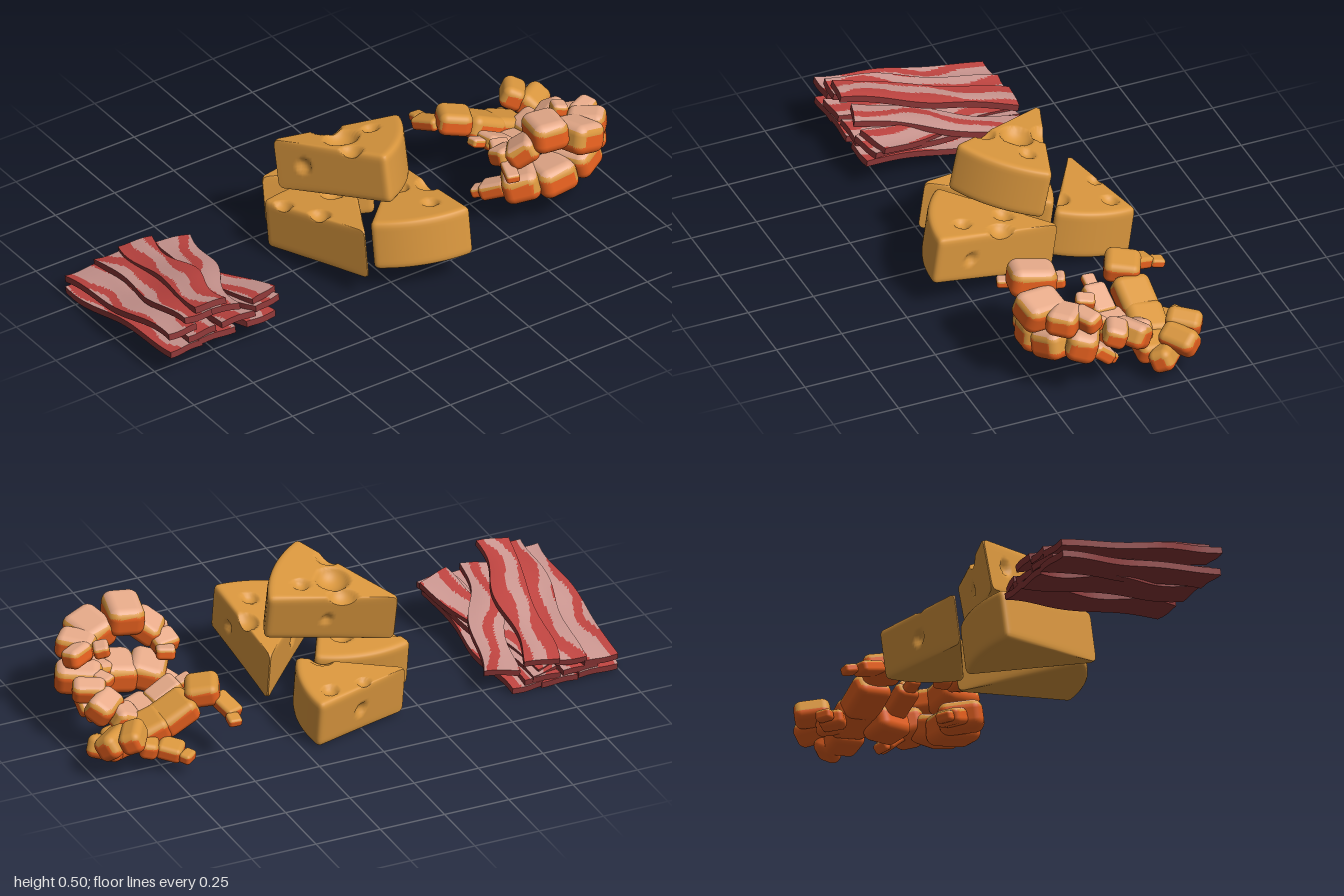
import * as THREE from 'three';
import { mergeVertices, mergeGeometries } from 'three/addons/utils/BufferGeometryUtils.js';
import { RoundedBoxGeometry } from 'three/addons/geometries/RoundedBoxGeometry.js';

function material(name, color) {
  const m = new THREE.MeshStandardMaterial({ color });
  m.name = name;
  return m;
}

// Sorts triangles into material groups; pick(centre, normal) returns a material index.
function paint(source, count, pick) {
  const geo = source.index ? source.toNonIndexed() : source;
  geo.clearGroups();
  const pos = geo.attributes.position, nor = geo.attributes.normal;
  const bins = Array.from({ length: count }, () => []);
  const c = new THREE.Vector3(), n = new THREE.Vector3(), v = new THREE.Vector3();
  for (let i = 0; i < pos.count; i += 3) {
    c.set(0, 0, 0);
    n.set(0, 0, 0);
    for (let k = i; k < i + 3; k++) {
      c.add(v.fromBufferAttribute(pos, k));
      n.add(v.fromBufferAttribute(nor, k));
    }
    bins[pick(c.divideScalar(3), n.normalize())].push(i, i + 1, i + 2);
  }
  geo.setIndex(bins.flat());
  let start = 0;
  bins.forEach((b, i) => {
    if (b.length) geo.addGroup(start, b.length, i);
    start += b.length;
  });
  return geo;
}

// Cheese wedge: a rounded box bent into a sector, with spherical holes pressed in.
// Hole: [distance from tip, angle in degrees, height, radius, side?]
function wedgeGeometry(R, thick, holes) {
  const half = THREE.MathUtils.degToRad(23), W = 2 * half * R, bevel = 0.02;
  let geo = new THREE.BoxGeometry(R, thick, W, 48, 16, 44);
  geo.deleteAttribute('uv');
  geo.deleteAttribute('normal');
  geo = mergeVertices(geo);
  const cuts = holes.map(([r, deg, y, rad, side]) => {
    const a = THREE.MathUtils.degToRad(deg), s = Math.sign(deg);
    const inward = side ? new THREE.Vector3(s * Math.sin(a), 0, -s * Math.cos(a)) : new THREE.Vector3(0, -1, 0);
    const centre = new THREE.Vector3(r * Math.cos(a), y, r * Math.sin(a)).addScaledVector(inward, -0.45 * rad);
    return { centre, inward, rad };
  });
  const limit = new THREE.Vector3(R / 2 - bevel, thick / 2 - bevel, W / 2 - bevel);
  const pos = geo.attributes.position, p = new THREE.Vector3(), q = new THREE.Vector3();
  for (let i = 0; i < pos.count; i++) {
    p.fromBufferAttribute(pos, i);
    q.copy(p).clamp(limit.clone().negate(), limit);
    p.sub(q).setLength(bevel).add(q);
    const r = p.x + R / 2 + 0.006, a = (p.z / W) * 2 * half;
    p.set(r * Math.cos(a), p.y + thick / 2, r * Math.sin(a));
    for (const { centre, inward, rad } of cuts) {
      q.copy(p).sub(centre);
      if (q.length() >= rad) continue;
      q.addScaledVector(inward, -q.dot(inward));
      p.copy(centre).add(q).addScaledVector(inward, Math.sqrt(rad * rad - q.lengthSq()));
    }
    pos.setXYZ(i, p.x, p.y, p.z);
  }
  geo.computeVertexNormals();
  return geo;
}

function createCheese(mat) {
  const group = new THREE.Group();
  group.name = 'cheese';
  const T = 0.187;
  const wedges = [
    { name: 'backWedge', at: [-0.18, 0.01, -0.28], yaw: 8, tilt: 0.14, R: 0.385,
      holes: [[0.18, -16, T, 0.03], [0.31, -13, T, 0.035], [0.3, 23, T, 0.05], [0.2, -23, 0.09, 0.03, 1], [0.22, 23, 0.08, 0.025, 1]] },
    { name: 'leftWedge', at: [-0.125, 0.088, 0.3], yaw: -84.6, tilt: 0.14, R: 0.46,
      holes: [[0.22, -19, T, 0.045], [0.33, 8, T, 0.05], [0.16, 23, 0.1, 0.03, 1], [0.38, -23, T, 0.045]] },
    { name: 'frontWedge', at: [0.245, 0.043, -0.06], yaw: 112, tilt: 0.14, R: 0.46,
      holes: [[0.35, -9, T, 0.035], [0.22, -21, T, 0.055], [0.33, -23, 0.09, 0.028, 1], [0.2, 8, T, 0.04], [0.25, 23, 0.1, 0.03, 1]] },
    { name: 'topWedge', at: [-0.2, 0.238, -0.168], yaw: 41, tilt: 0.2, R: 0.46,
      holes: [[0.25, 2, T, 0.07], [0.35, -10, T, 0.035], [0.2, -23, T, 0.062], [0.25, -23, 0.09, 0.024, 1], [0.32, 22, T, 0.05], [0.12, 23, 0.1, 0.035, 1]] },
  ];
  for (const w of wedges) {
    const mesh = new THREE.Mesh(wedgeGeometry(w.R, T, w.holes), mat);
    mesh.name = w.name;
    mesh.position.set(...w.at);
    mesh.rotation.set(-w.tilt, -THREE.MathUtils.degToRad(w.yaw), 0);
    group.add(mesh);
  }
  return group;
}

// Wavy strip with streaks of fat on top and a dark rim and underside.
function stripGeometry(width, length, seed, lean) {
  const geo = paint(new THREE.BoxGeometry(width, 0.024, length, 14, 1, 44), 3, (c, n) => {
    if (n.y < 0.5) return 2;
    const u = c.x / width, z = c.z * 9 + seed;
    const streak = Math.sin(u * 7 + 1.3 * Math.sin(z) + 0.6 * Math.sin(2.7 * z) + seed * 1.7);
    return streak > lean ? 1 : 0;
  });
  const pos = geo.attributes.position;
  for (let i = 0; i < pos.count; i++) {
    const x = pos.getX(i), z = pos.getZ(i);
    pos.setX(i, x * (1 + 0.1 * Math.sin(z * 17 + seed)) + 0.013 * Math.sin(z * 14 + seed * 2));
    pos.setY(i, pos.getY(i) + 0.004 * Math.sin(z * 15 + seed) + 0.003 * Math.sin(x * 40 + seed));
  }
  geo.computeVertexNormals();
  return geo;
}

function createBacon(mats) {
  const group = new THREE.Group();
  group.name = 'bacon';
  // [x at back, x at front, height at the middle, width, length, leanness, tilt]
  const strips = [
    [-0.92, -0.9, 0.048, 0.14, 0.65, 0, 0.135], [-0.77, -0.78, 0.048, 0.14, 0.65, 0, 0.135], [-0.63, -0.6, 0.048, 0.13, 0.65, 0, 0.135],
    [-0.86, -0.83, 0.078, 0.13, 0.65, 0, 0.16], [-0.69, -0.7, 0.078, 0.13, 0.65, 0, 0.16], [-0.72, -0.55, 0.09, 0.12, 0.65, -0.3, 0.16],
    [-0.93, -0.925, 0.108, 0.13, 0.66, -0.5, 0.19], [-0.54, -0.74, 0.118, 0.12, 0.61, -0.5, 0.18], [-0.76, -0.54, 0.105, 0.12, 0.61, -0.4, 0.18],
    [-0.8, -0.87, 0.138, 0.12, 0.66, 0.2, 0.21], [-0.7, -0.8, 0.16, 0.12, 0.66, 0.2, 0.23],
  ];
  strips.forEach(([xb, xf, y, w, l, lean, tilt], i) => {
    const mesh = new THREE.Mesh(stripGeometry(w, l, i * 1.9 + 0.5, lean), mats);
    mesh.name = `baconStrip${i + 1}`;
    mesh.position.set((xb + xf) / 2, y + 0.01, -0.005);
    mesh.rotation.set(-tilt, Math.atan2(xf - xb, l), 0);
    group.add(mesh);
  });
  return group;
}

// Curled shrimp: overlapping rounded segments along a path of [x, y, z, size].
function shrimpGeometry(path, topIndex) {
  const pts = path.map(([x, y, z]) => new THREE.Vector3(x, y, z));
  const last = pts.length - 1, up = new THREE.Vector3(0, 1, -0.14);
  const parts = pts.map((p, i) => {
    const a = pts[Math.max(i - 1, 0)], b = pts[Math.min(i + 1, last)];
    const s = path[i][3], h = s * 0.66;
    const geo = new RoundedBoxGeometry(s, h, Math.max(a.distanceTo(b) * 0.66, h), 4, h * 0.33);
    geo.applyMatrix4(new THREE.Matrix4().lookAt(a, b, up).setPosition(p));
    return geo;
  });
  return paint(mergeGeometries(parts), 3, (c, n) => (n.y > 0.64 ? topIndex : n.y > 0.2 ? 2 : 0));
}

function createShrimp(mats) {
  const group = new THREE.Group();
  group.name = 'shrimpPile';
  const paths = {
    backShrimp: [[0.51, 0.17, -0.345, 0.05], [0.505, 0.19, -0.27, 0.07], [0.56, 0.225, -0.19, 0.13], [0.67, 0.16, -0.19, 0.14],
      [0.77, 0.12, -0.19, 0.14], [0.87, 0.085, -0.17, 0.13], [0.935, 0.08, -0.19, 0.13], [0.93, 0.13, -0.25, 0.14], [0.875, 0.16, -0.29, 0.13]],
    lowShrimp: [[0.69, 0.065, -0.345, 0.06], [0.73, 0.075, -0.29, 0.09], [0.8, 0.09, -0.26, 0.1]],
    middleShrimp: [[0.57, 0.2, -0.06, 0.05], [0.65, 0.17, -0.06, 0.09], [0.74, 0.11, -0.07, 0.15], [0.83, 0.14, -0.11, 0.13],
      [0.89, 0.18, -0.08, 0.14], [0.915, 0.215, -0.01, 0.12], [0.84, 0.22, 0.03, 0.07]],
    lowerFrontShrimp: [[0.51, 0.075, 0.04, 0.06], [0.55, 0.1, 0.09, 0.09], [0.61, 0.14, 0.16, 0.16], [0.72, 0.15, 0.19, 0.17],
      [0.83, 0.18, 0.18, 0.16], [0.9, 0.205, 0.11, 0.17], [0.9, 0.14, 0.04, 0.08], [0.89, 0.105, 0, 0.06]],
    topFrontShrimp: [[0.525, 0.25, 0.22, 0.05], [0.58, 0.25, 0.07, 0.07], [0.56, 0.26, 0.13, 0.1], [0.6, 0.3, 0.19, 0.13],
      [0.68, 0.36, 0.21, 0.17], [0.8, 0.31, 0.23, 0.17], [0.88, 0.3, 0.17, 0.14], [0.91, 0.3, 0.1, 0.11], [0.83, 0.32, 0.07, 0.07]],
  };
  for (const [name, path] of Object.entries(paths)) {
    const mesh = new THREE.Mesh(shrimpGeometry(path, name === 'backShrimp' || name === 'lowShrimp' ? 2 : 1), mats);
    mesh.name = name;
    group.add(mesh);
  }
  return group;
}

export function createModel() {
  const cheese = material('cheese yellow', 0xda973e);
  const meat = material('bacon red', 0xbe4440);
  const fat = material('bacon fat pink', 0xcb9690);
  const rim = material('bacon dark red', 0x8a3636);
  const orange = material('shrimp orange', 0xe8611f);
  const pale = material('shrimp pale pink', 0xeeb08e);
  const tan = material('shrimp tan', 0xd9963e);
  const model = new THREE.Group();
  model.name = 'foodIngredients';
  model.add(createBacon([meat, fat, rim]), createCheese(cheese), createShrimp([orange, pale, tan]));
  return model;
}
